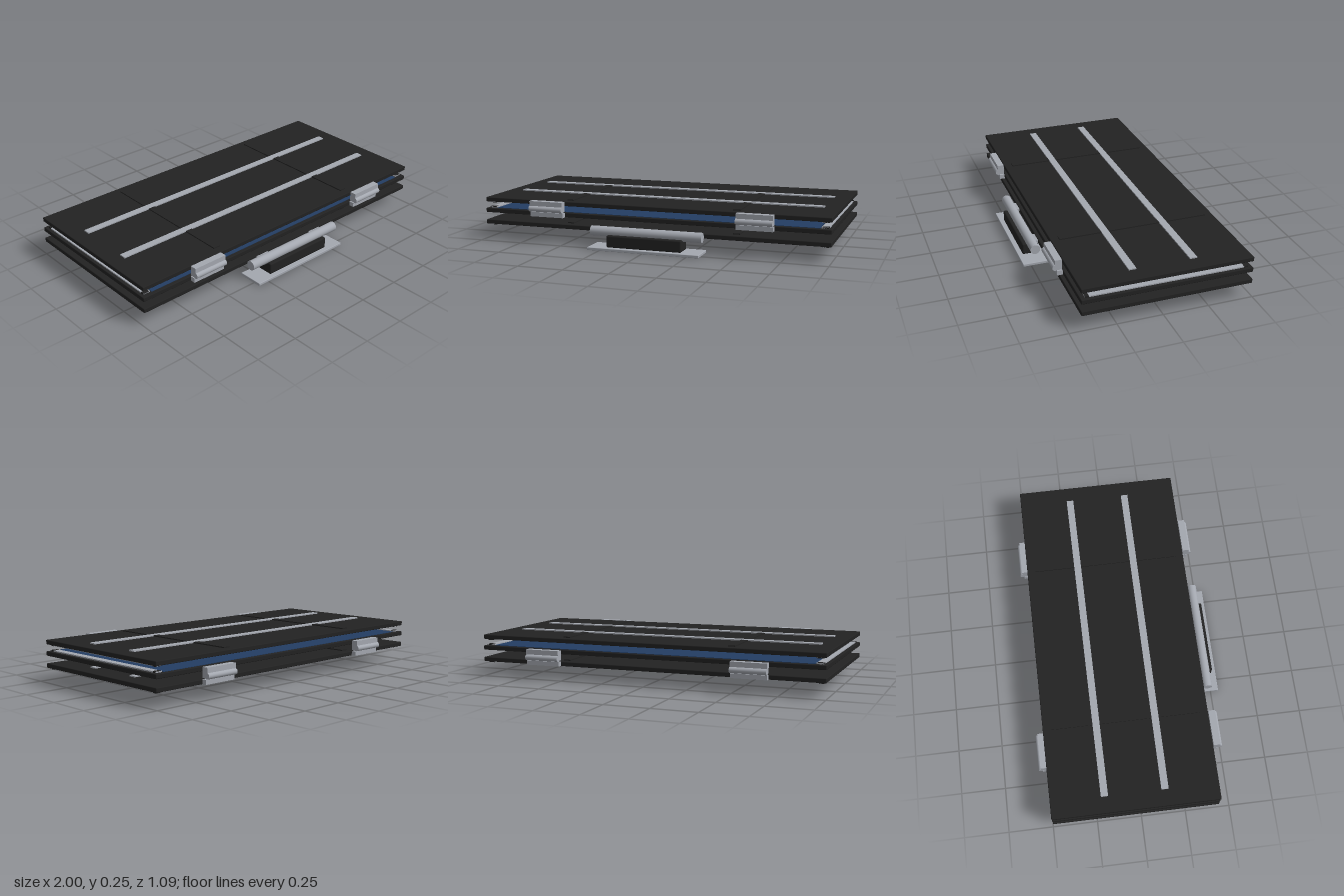
import * as THREE from 'three';
import { RoundedBoxGeometry } from 'three/addons/geometries/RoundedBoxGeometry.js';

const make = (name, color, side = THREE.FrontSide) => {
  const m = new THREE.MeshStandardMaterial({ color, side });
  m.name = name;
  return m;
};

export function createModel() {
  const black = make('black composite', 0x222222);
  const metal = make('brushed metal', 0xa4a8b0);
  const blue = make('cell blue', 0x233d63);
  const root = new THREE.Group();
  root.name = 'foldedSolarArray';

  const add = (parent, name, geometry, material, x, y, z) => {
    const mesh = new THREE.Mesh(geometry, material);
    mesh.name = name;
    mesh.position.set(x, y, z);
    parent.add(mesh);
    return mesh;
  };
  const box = (parent, name, mat, w, h, d, x, y, z) =>
    add(parent, name, new THREE.BoxGeometry(w, h, d), mat, x, y, z);
  const rod = (parent, name, r, length, x, y, z) => {
    const g = new THREE.CylinderGeometry(r, r, length, 24).rotateZ(Math.PI / 2);
    return add(parent, name, g, metal, x, y, z);
  };

  // One panel: cells face up, stiffeners face down
  function panel(name, y, cellsDown) {
    const g = new THREE.Group();
    g.name = name;
    add(g, 'frame', new RoundedBoxGeometry(2, 0.025, 0.93, 2, 0.004), black, 0, 0, 0);
    box(g, 'cellSheet', blue, 1.87, 0.003, 0.89, 0, 0.0135, 0);

    // Small crosses where four cells meet
    const cols = 9, rows = 4;
    for (let i = 1; i < cols; i++) {
      for (let j = 1; j < rows; j++) {
        const x = (i / cols - 0.5) * 1.87, z = (j / rows - 0.5) * 0.89;
        box(g, 'cellCrossLong', metal, 0.025, 0.001, 0.003, x, 0.0153, z);
        box(g, 'cellCrossShort', metal, 0.003, 0.001, 0.025, x, 0.0153, z);
      }
    }
    for (const s of [-1, 1]) {
      box(g, 'endStrip', metal, 0.04, 0.007, 0.88, s * 0.962, 0.0155, 0);
      for (const t of [-1, 1])
        box(g, 'cornerPad', black, 0.035, 0.008, 0.02, s * 0.965, 0.0165, t * 0.43);
      box(g, 'crossRib', black, 0.04, 0.006, 0.84, s * 0.485, -0.0155, 0);
      box(g, 'stringer', metal, 1.82, 0.0065, 0.04, 0, -0.01575, s * 0.166);
    }
    g.position.set(0, y, -0.03);
    if (cellsDown) g.rotation.x = Math.PI;
    root.add(g);
  }
  panel('lowerPanel', 0.0975, true);
  panel('middlePanel', 0.1645, false);
  panel('upperPanel', 0.2275, true);

  // Folding hinges: upper pair at the front, lower pair at the back
  for (const s of [-1, 1]) {
    const front = new THREE.Group(), back = new THREE.Group();
    front.name = 'frontHinge';
    back.name = 'backHinge';
    root.add(front, back);
    const x = s * 0.6;
    box(front, 'upperLeaf', metal, 0.2, 0.057, 0.038, x, 0.2115, 0.457);
    box(front, 'lowerLeaf', metal, 0.2, 0.026, 0.03, x, 0.164, 0.45);
    rod(front, 'hingePin', 0.0165, 0.2, x, 0.197, 0.473);
    box(back, 'upperLeaf', metal, 0.2, 0.056, 0.036, x, 0.146, -0.513);
    box(back, 'lowerLeaf', metal, 0.2, 0.025, 0.028, x, 0.0985, -0.509);
    rod(back, 'hingePin', 0.0165, 0.2, x, 0.13, -0.528);
  }

  // Root mount: base plate, drive housing and pivot shaft
  const mount = new THREE.Group();
  mount.name = 'rootMount';
  root.add(mount);
  add(mount, 'basePlate', new RoundedBoxGeometry(0.64, 0.016, 0.146, 2, 0.003), metal, 0, 0.008, 0.472);
  add(mount, 'driveHousing', new RoundedBoxGeometry(0.43, 0.066, 0.092, 3, 0.008), black, 0, 0.049, 0.474);
  rod(mount, 'pivotShaft', 0.0275, 0.64, 0, 0.097, 0.474);
  for (const s of [-1, 1])
    box(mount, 'shaftBracket', metal, 0.08, 0.016, 0.03, s * 0.2, 0.0975, 0.445);
  return root;
}
